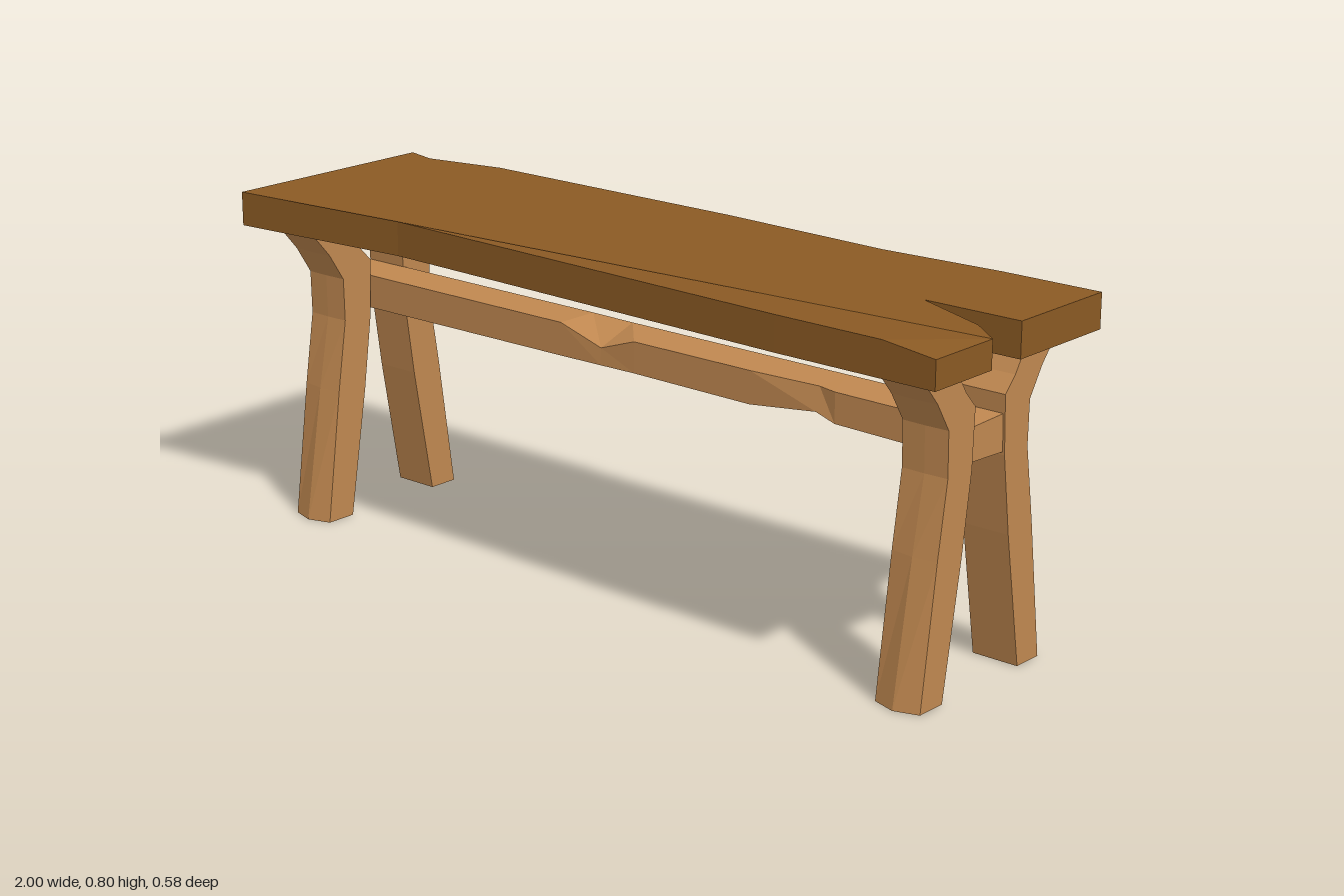
import * as THREE from 'three';

const seatWood = new THREE.MeshStandardMaterial({ color: 0x8b5a24, flatShading: true });
const legWood = new THREE.MeshStandardMaterial({ color: 0xc08850, flatShading: true });

// Solid skin over matching convex rings, wound counter-clockwise about the axis
function skin(rings) {
  const pos = [];
  const tri = (...pts) => pts.forEach((p) => pos.push(...p));
  const n = rings[0].length;
  for (let i = 0; i < rings.length - 1; i++) {
    for (let j = 0; j < n; j++) {
      const k = (j + 1) % n, a = rings[i], b = rings[i + 1];
      tri(a[j], a[k], b[k]);
      tri(a[j], b[k], b[j]);
    }
  }
  const first = rings[0], last = rings[rings.length - 1];
  for (let j = 1; j < n - 1; j++) {
    tri(first[0], first[j + 1], first[j]);
    tri(last[0], last[j], last[j + 1]);
  }
  const geo = new THREE.BufferGeometry();
  geo.setAttribute('position', new THREE.Float32BufferAttribute(pos, 3));
  geo.computeVertexNormals();
  return geo;
}

// Plank with a split in one end and chipped upper edges
function makeSeat() {
  const outline = [
    [-1, -0.29], [-0.92, -0.29], [-0.72, -0.29], [0, -0.29], [0.45, -0.29], [0.75, -0.29], [1, -0.29],
    [1, 0], [0.76, 0], [0.95, 0.08], [1, 0.1], [1, 0.29], [0.87, 0.289], [0.6, 0.287], [-0.52, 0.25], [-1, 0.29],
  ];
  // Chips: x, z of an upper corner, then its new z and drop in y
  const chips = [
    [-1, -0.29, -0.27, 0], [-0.92, -0.29, -0.25, 0], [0.45, -0.29, -0.272, 0],
    [1, 0.1, 0.1, 0.015], [1, 0.29, 0.29, 0.015],
  ];
  const shape = new THREE.Shape(outline.map(([x, z]) => new THREE.Vector2(x, -z)));
  const geo = new THREE.ExtrudeGeometry(shape, { depth: 0.08, steps: 2, bevelEnabled: false });
  geo.rotateX(-Math.PI / 2);
  const p = geo.attributes.position;
  for (let i = 0; i < p.count; i++) {
    const y = p.getY(i);
    if (y > 0.03 && y < 0.05) p.setY(i, 0.06);
    if (y > 0.07) {
      const chip = chips.find((c) => Math.hypot(c[0] - p.getX(i), c[1] - p.getZ(i)) < 0.001);
      if (chip) {
        p.setZ(i, chip[2]);
        p.setY(i, y - chip[3]);
      }
    }
  }
  geo.translate(0, 0.72, 0);
  geo.computeVertexNormals();
  const seat = new THREE.Mesh(geo, seatWood);
  seat.name = 'seat';
  return seat;
}

// Bent leg: inner z, y, outer z, y and height of the outer ridge per section
function makeLegGeometry() {
  const sections = [
    [0.14, 0, 0.216, 0, 0.018],
    [0.087, 0.31, 0.172, 0.32, 0.008],
    [0.062, 0.49, 0.145, 0.49, 0.002],
    [0.057, 0.622, 0.147, 0.592, 0.002],
    [0.09, 0.657, 0.188, 0.657, 0.003],
    [0.132, 0.722, 0.244, 0.722, 0.004],
  ];
  const w = 0.057;
  return skin(sections.map(([zi, yi, zo, yo, r]) => [
    [w, yo, zo], [w, yi, zi], [-w, yi, zi], [-w, yo, zo], [0, yo, zo + r],
  ]));
}

// Hewn beam between the leg pairs
function makeStretcher() {
  // x, top back y, top front y, top front z, bottom front y, bottom back y
  const stations = [
    [-0.93, 0.583, 0.583, 0.057, 0.503, 0.503],
    [-0.2, 0.583, 0.583, 0.057, 0.505, 0.501],
    [-0.08, 0.582, 0.546, 0.055, 0.506, 0.501],
    [0.02, 0.582, 0.58, 0.057, 0.507, 0.502],
    [0.35, 0.582, 0.58, 0.057, 0.504, 0.502],
    [0.53, 0.582, 0.579, 0.045, 0.525, 0.52],
    [0.58, 0.582, 0.579, 0.057, 0.509, 0.505],
    [0.93, 0.58, 0.577, 0.057, 0.502, 0.497],
  ];
  const stretcher = new THREE.Mesh(skin(stations.map(([x, tb, tf, z, bf, bb]) => [
    [x, tb, -0.052], [x, tf, z], [x, bf, 0.057], [x, bb, -0.052],
  ])), legWood);
  stretcher.name = 'stretcher';
  return stretcher;
}

export function createModel() {
  const bench = new THREE.Group();
  bench.name = 'bench';
  bench.add(makeSeat(), makeStretcher());

  // Two splayed pairs of legs
  const legGeometry = makeLegGeometry();
  for (const [side, x] of [['Left', 0.878], ['Right', -0.873]]) {
    const front = new THREE.Mesh(legGeometry, legWood);
    front.name = 'front' + side + 'Leg';
    front.position.x = x;
    const back = new THREE.Mesh(legGeometry, legWood);
    back.name = 'back' + side + 'Leg';
    back.position.set(x, 0, 0.009);
    back.rotation.y = Math.PI;
    bench.add(front, back);
  }
  return bench;
}
